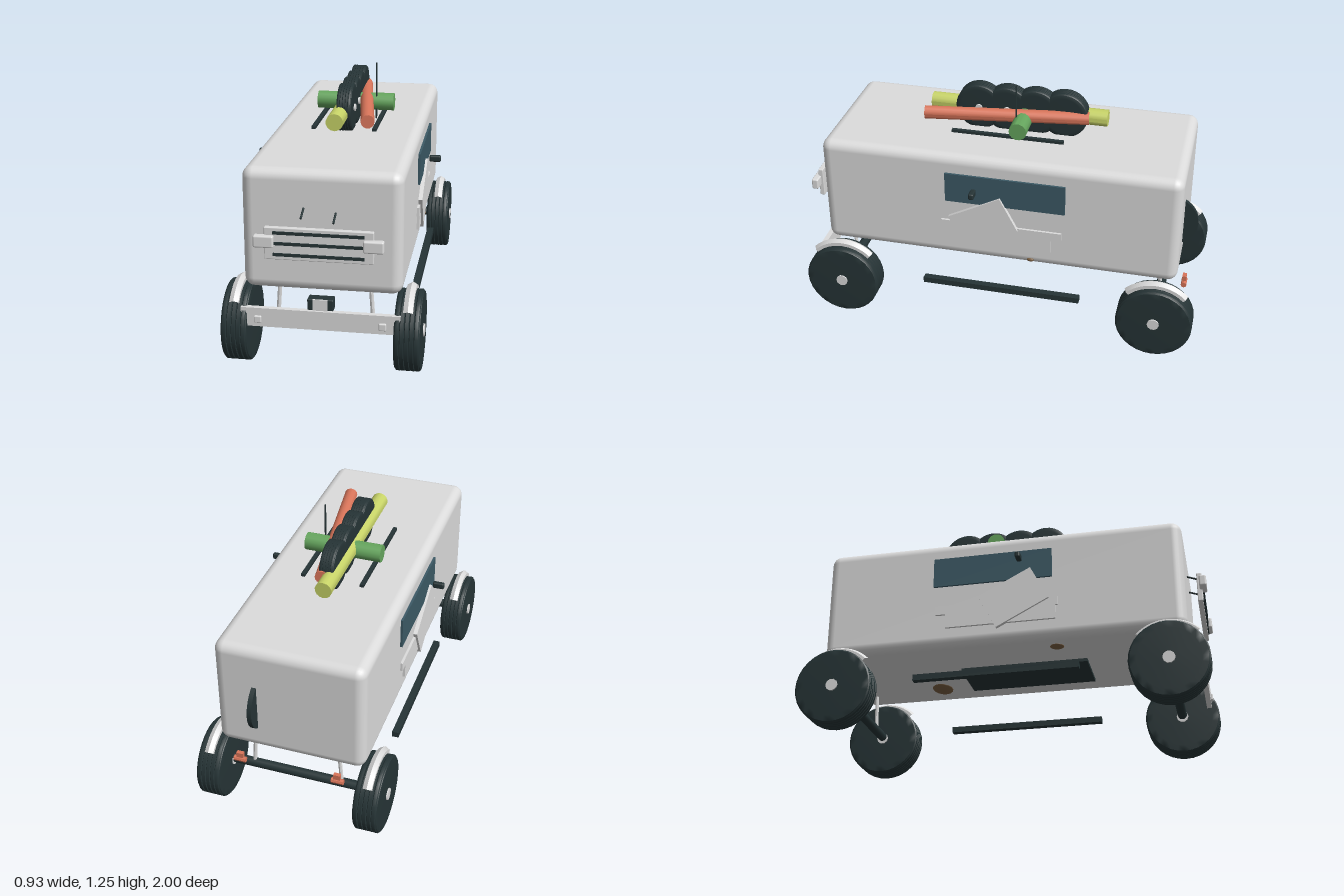
import * as THREE from 'three';
import { toCreasedNormals } from 'three/addons/utils/BufferGeometryUtils.js';
import { RoundedBoxGeometry } from 'three/addons/geometries/RoundedBoxGeometry.js';

const paint = (name, color) => {
  const m = new THREE.MeshStandardMaterial({ color });
  m.name = name;
  return m;
};

export function createModel() {
  const grey = paint('paleGrey', 0xdcdcdc);
  const dark = paint('darkRubber', 0x263436);
  const glass = paint('tealGlass', 0x3c5a66);
  const yellow = paint('yellowGreen', 0xc8d468);
  const green = paint('green', 0x66a65e);
  const orange = paint('orange', 0xd9755a);
  const brown = paint('mudBrown', 0x7d6244);

  const root = new THREE.Group();
  root.name = 'truck';
  const add = (name, geo, mat, x = 0, y = 0, z = 0, parent = root) => {
    const m = new THREE.Mesh(geo, mat);
    m.name = name;
    m.position.set(x, y, z);
    parent.add(m);
    return m;
  };
  const box = (name, mat, w, h, d, x, y, z, r = 0) =>
    add(name, r ? new RoundedBoxGeometry(w, h, d, 3, r) : new THREE.BoxGeometry(w, h, d), mat, x, y, z);
  // Cylinder running between two points
  const rod = (name, mat, a, b, r, sides = 12) => {
    const p = new THREE.Vector3(...a), q = new THREE.Vector3(...b);
    const dir = q.clone().sub(p);
    const geo = toCreasedNormals(new THREE.CylinderGeometry(r, r, dir.length(), sides), 0.7);
    const m = add(name, geo, mat, ...p.clone().add(q).multiplyScalar(0.5).toArray());
    m.quaternion.setFromUnitVectors(new THREE.Vector3(0, 1, 0), dir.normalize());
    return m;
  };
  // Grooved tyre with its axle along x
  const tyreGeometry = (r, w) => {
    const h = w / 2, pts = [[0, -h], [r * 0.8, -h], [r * 0.96, -h * 0.98]];
    const ribs = 5, step = (w * 0.92) / ribs;
    for (let i = 0; i < ribs; i++) {
      const y = -h * 0.92 + i * step;
      pts.push([r * 0.97, y], [r, y + step * 0.15], [r, y + step * 0.85]);
    }
    pts.push([r * 0.97, h * 0.92], [r * 0.96, h * 0.98], [r * 0.8, h], [0, h]);
    const geo = new THREE.LatheGeometry(pts.map(p => new THREE.Vector2(...p)), 32);
    return toCreasedNormals(geo.rotateZ(Math.PI / 2), 0.6);
  };

  // Body
  box('body', grey, 0.73, 0.575, 1.8, 0, 0.6725, 0, 0.05);

  // Wheels, fenders, axles and struts
  const tyre = tyreGeometry(0.19, 0.12);
  const arc = 1.6;
  const fender = new THREE.TorusGeometry(0.192, 0.025, 6, 16, arc)
    .rotateZ(Math.PI / 2 - arc / 2).rotateY(Math.PI / 2);
  const fenderGeo = toCreasedNormals(fender, 0.6);
  const fenderMat = grey;
  for (const z of [0.81, -0.81]) {
    rod('axle', dark, [-0.34, 0.2, z], [0.34, 0.2, z], 0.024);
    for (const s of [1, -1]) {
      add('tyre', tyre, dark, s * 0.395, 0.19, z);
      rod('hub', grey, [s * 0.33, 0.192, z], [s * 0.462, 0.192, z], 0.03, 10);
      add('fender', fenderGeo, fenderMat, s * 0.397, 0.193, z);
      rod('strut', grey, [s * 0.225, 0.2, z], [s * 0.21, 0.41, z], 0.01, 8);
    }
  }

  // Sides: window, stacked panels, mirror, sill bar
  for (const s of [1, -1]) {
    box('sideWindow', glass, 0.02, 0.155, 0.6, s * 0.366, 0.7875, -0.04);
    box('sidePanelTop', grey, 0.02, 0.045, 0.61, s * 0.367, 0.575, -0.02);
    box('sidePanel', grey, 0.02, 0.11, 0.55, s * 0.367, 0.535, 0);
    const plate = box('tiltedPanel', grey, 0.02, 0.195, 0.295, s * 0.378, 0.608, 0.068);
    plate.rotation.x = s * 0.48;
    box('mirror', dark, 0.058, 0.032, 0.026, s * 0.436, 0.802, 0.105, 0.008);
    box('sillBar', dark, 0.034, 0.03, 0.81, s * 0.377, 0.222, -0.02);
  }

  // Underside plate and mud patches
  box('skidPlate', dark, 0.27, 0.016, 0.64, 0, 0.353, 0.07);
  const mud = (x, y, z, sx, sy, sz) =>
    add('mudPatch', new THREE.SphereGeometry(1, 14, 8), brown, x, y, z).scale.set(sx, sy, sz);
  mud(-0.25, 0.385, 0.26, 0.035, 0.006, 0.035);
  mud(0.17, 0.388, -0.43, 0.075, 0.018, 0.055);
  mud(0.363, 0.415, -0.17, 0.008, 0.01, 0.018);

  // Grille with slots, headlights and wiper rods
  box('grille', grey, 0.49, 0.15, 0.025, 0, 0.64, 0.965, 0.004);
  for (const y of [0.59, 0.642, 0.692]) box('grilleSlot', dark, 0.41, 0.014, 0.008, 0, y, 0.979);
  for (const s of [1, -1]) box('headlight', grey, 0.092, 0.056, 0.035, s * 0.246, 0.652, 0.982, 0.008);
  rod('wiper', dark, [-0.08, 0.788, 0.89], [-0.08, 0.76, 0.965], 0.005, 8);
  rod('wiper', dark, [0.065, 0.772, 0.89], [0.065, 0.745, 0.965], 0.005, 8);

  // Front bumper with tapered ends, lamps and winch
  const b = new THREE.Shape();
  [[-0.345, 0.228], [0.345, 0.228], [0.365, 0.28], [0.365, 0.318], [-0.365, 0.318], [-0.365, 0.28]]
    .forEach((p, i) => (i ? b.lineTo(...p) : b.moveTo(...p)));
  b.closePath();
  add('bumper', new THREE.ExtrudeGeometry(b, { depth: 0.025, bevelEnabled: false }), grey, 0, 0, 0.938);
  for (const s of [1, -1]) box('bumperLamp', grey, 0.034, 0.034, 0.016, s * 0.285, 0.265, 0.966, 0.005);
  box('winch', dark, 0.12, 0.055, 0.055, 0, 0.343, 0.92, 0.006);
  box('winchPlate', grey, 0.068, 0.055, 0.008, 0, 0.343, 0.948);

  // Rear: recessed disc and tow hooks
  add('rearDisc', new THREE.CylinderGeometry(0.136, 0.136, 0.022, 32).rotateZ(Math.PI / 2), dark, 0.168, 0.63, -0.835);
  for (const s of [1, -1]) {
    box('towHookTop', orange, 0.034, 0.026, 0.02, s * 0.243, 0.35, -0.932);
    rod('towHook', orange, [s * 0.215, 0.322, -0.932], [s * 0.275, 0.322, -0.932], 0.014, 8);
  }

  // Roof: rails, spare wheels, antenna and cargo rolls
  for (const s of [1, -1]) box('roofRail', dark, 0.02, 0.014, 0.565, s * 0.15, 0.984, -0.003);
  const spare = tyreGeometry(0.118, 0.072);
  for (let i = 0; i < 4; i++) {
    const z = 0.17 - i * 0.144;
    add('spareTyre', spare, dark, -0.001, 1.066, z);
    rod('spareHub', grey, [-0.043, 1.066, z], [0.043, 1.066, z], 0.018, 10);
  }
  rod('antenna', dark, [0.118, 0.95, -0.04], [0.118, 1.25, -0.04], 0.0045, 6);
  rod('greenRoll', green, [-0.185, 1.043, -0.066], [0.206, 1.043, -0.066], 0.044, 14);
  rod('yellowRoll', yellow, [-0.022, 1.052, -0.475], [-0.022, 1.052, 0.422], 0.042, 14);
  rod('orangeRoll', orange, [0.018, 1.06, -0.385], [0.137, 1.062, 0.42], 0.033, 14);

  return root;
}
